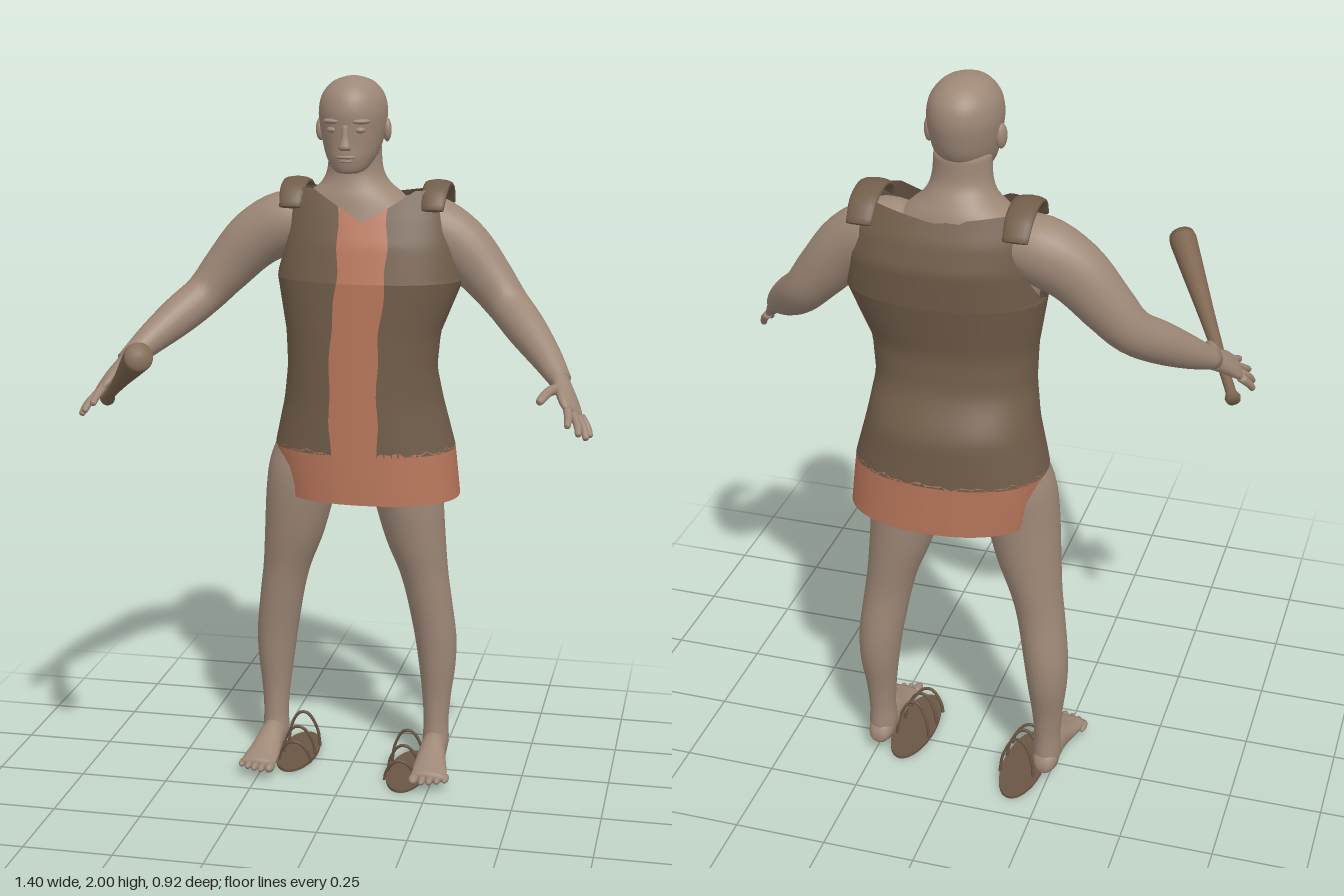
import * as THREE from 'three';

const V = (x, y, z) => new THREE.Vector3(x, y, z);
const X = V(1, 0, 0), Y = V(0, 1, 0), Z = V(0, 0, 1);
const mat = (name, color, side = THREE.FrontSide) => {
  const m = new THREE.MeshStandardMaterial({ color, side });
  m.name = name;
  return m;
};

// Indexed grid of points, optionally closed around the columns and capped at both ends
function grid(rows, capped) {
  const n = rows[0].length, pos = [], idx = [];
  rows.forEach(r => r.forEach(p => pos.push(p.x, p.y, p.z)));
  const cols = capped ? n : n - 1;
  for (let i = 0; i < rows.length - 1; i++) {
    for (let j = 0; j < cols; j++) {
      const k = (j + 1) % n, a = i * n + j, b = i * n + k, c = a + n, d = b + n;
      idx.push(a, b, c, b, d, c);
    }
  }
  if (capped) {
    [0, rows.length - 1].forEach(i => {
      const c = rows[i].reduce((s, p) => s.add(p), V(0, 0, 0)).divideScalar(n);
      const o = pos.length / 3;
      pos.push(c.x, c.y, c.z);
      for (let j = 0; j < n; j++) {
        const a = i * n + j, b = i * n + (j + 1) % n;
        if (i) idx.push(o, a, b); else idx.push(o, b, a);
      }
    });
  }
  const g = new THREE.BufferGeometry();
  g.setAttribute('position', new THREE.Float32BufferAttribute(pos, 3));
  g.setIndex(idx);
  g.computeVertexNormals();
  return g;
}

// Smooth loft through elliptical sections [x, y, z, radius along ref, other radius]
function loft(sections, ref, axis = null, seg = 24, sub = 4) {
  const path = new THREE.CatmullRomCurve3(sections.map(s => V(s[0], s[1], s[2])), false, 'catmullrom');
  const radii = new THREE.CatmullRomCurve3(sections.map(s => V(s[3], s[4], 0)), false, 'catmullrom');
  const rows = [], n = (sections.length - 1) * sub;
  for (let i = 0; i <= n; i++) {
    const c = path.getPoint(i / n), r = radii.getPoint(i / n);
    const t = axis || path.getTangent(i / n);
    const u = ref.clone().addScaledVector(t, -ref.dot(t)).normalize();
    const w = t.clone().cross(u);
    const row = [];
    for (let j = 0; j < seg; j++) {
      const a = j / seg * Math.PI * 2;
      row.push(c.clone().addScaledVector(u, r.x * Math.cos(a)).addScaledVector(w, r.y * Math.sin(a)));
    }
    rows.push(row);
  }
  return grid(rows, true);
}

// Tunic outline: [y, right edge, left edge, front z, back z]
const OUTLINE = [
  [0.83, -0.205, 0.30, -0.105, -0.455], [0.97, -0.228, 0.285, -0.105, -0.455],
  [1.1, -0.2, 0.25, -0.105, -0.45], [1.2, -0.185, 0.235, -0.105, -0.395],
  [1.3, -0.188, 0.245, -0.105, -0.385], [1.45, -0.215, 0.305, -0.105, -0.415],
  [1.55, -0.205, 0.295, -0.13, -0.425], [1.62, -0.2, 0.28, -0.16, -0.405],
  [1.7, -0.2, 0.265, -0.2, -0.36]];
function outline(y) {
  let i = 0;
  while (i < OUTLINE.length - 2 && y > OUTLINE[i + 1][0]) i++;
  const p = OUTLINE[i], q = OUTLINE[i + 1], t = THREE.MathUtils.clamp((y - p[0]) / (q[0] - p[0]), 0, 1);
  return p.map((v, k) => v + (q[k] - v) * t);
}
const bend = v => Math.sign(v) * Math.abs(v) ** 0.9;
function tunicPoint(a, y) {
  const [, x0, x1, zf, zb] = outline(y);
  return V((x0 + x1) / 2 + (x1 - x0) / 2 * bend(Math.sin(a)), y, (zf + zb) / 2 + (zf - zb) / 2 * bend(Math.cos(a)));
}
// Cloth patch between two angles (functions of y) and two heights (functions of angle and x)
function cloth(a0, a1, y0, y1, top, nu, nv) {
  const rows = [];
  for (let i = 0; i <= nv; i++) {
    const row = [];
    for (let j = 0; j <= nu; j++) {
      const v = i / nv, yn = y0 + (y1 - y0) * v;
      const a = a0(yn) + (a1(yn) - a0(yn)) * j / nu;
      const end = top ? top(a, tunicPoint(a, yn).x) : y1;
      row.push(tunicPoint(a, y0 + (end - y0) * v));
    }
    rows.push(row);
  }
  return grid(rows, false);
}

export function createModel() {
  const root = new THREE.Group();
  root.name = 'manWithClub';
  const skin = mat('skin', 0x9e8877);
  const brown = mat('brownCloth', 0x715d4a, THREE.DoubleSide);
  const rust = mat('rustCloth', 0xb8765b, THREE.DoubleSide);
  const wood = mat('clubWood', 0x7d6650);
  const leather = mat('sandalLeather', 0x6a5644);
  const add = (name, geo, m) => {
    const mesh = new THREE.Mesh(geo, m);
    mesh.name = name;
    root.add(mesh);
    return mesh;
  };
  const blob = (name, x, y, z, rx, ry, rz) => {
    const m = add(name, new THREE.SphereGeometry(1, 16, 12), skin);
    m.position.set(x, y, z);
    m.scale.set(rx, ry, rz);
    return m;
  };

  // Torso and neck
  add('torso', loft([
    [0, 0.88, -0.28, 0.13, 0.09], [0, 0.95, -0.28, 0.195, 0.13], [0, 1.08, -0.275, 0.185, 0.135],
    [0, 1.22, -0.255, 0.165, 0.115], [0, 1.45, -0.265, 0.195, 0.125], [0, 1.56, -0.275, 0.195, 0.115],
    [0, 1.63, -0.28, 0.175, 0.105], [0, 1.675, -0.28, 0.135, 0.095], [0, 1.71, -0.277, 0.095, 0.08],
    [0, 1.75, -0.268, 0.077, 0.064], [0, 1.82, -0.262, 0.072, 0.066]], X, Y, 36), skin);

  // Head and face
  add('head', loft([
    [0, 1.745, -0.168, 0.028, 0.03], [0, 1.755, -0.187, 0.047, 0.056], [0, 1.785, -0.214, 0.067, 0.09],
    [0, 1.82, -0.23, 0.08, 0.106], [0, 1.87, -0.236, 0.09, 0.115], [0, 1.91, -0.237, 0.093, 0.118],
    [0, 1.95, -0.238, 0.084, 0.107], [0, 1.982, -0.237, 0.058, 0.075], [0, 1.996, -0.236, 0.026, 0.034],
    [0, 2.0, -0.236, 0.003, 0.004]], X, Y, 36), skin);
  add('nose', loft([
    [0, 1.808, -0.124, 0.012, 0.008], [0, 1.816, -0.118, 0.018, 0.017],
    [0, 1.84, -0.121, 0.011, 0.012], [0, 1.875, -0.124, 0.008, 0.008]], X, Y, 12), skin);
  blob('upperLip', 0, 1.79, -0.13, 0.027, 0.006, 0.009);
  blob('lowerLip', 0, 1.779, -0.133, 0.022, 0.006, 0.01);
  blob('chin', 0, 1.758, -0.147, 0.026, 0.014, 0.016);
  for (const s of [1, -1]) {
    blob('eyelid', s * 0.036, 1.862, -0.138, 0.017, 0.009, 0.012);
    blob('brow', s * 0.038, 1.885, -0.138, 0.028, 0.008, 0.016).rotation.y = s * 0.3;
    blob('ear', s * 0.092, 1.855, -0.245, 0.012, 0.032, 0.019).rotation.y = s * 0.3;
  }

  for (const s of [1, -1]) {
    const flip = rows => rows.map(([x, ...r]) => [s * x, ...r]);
    // Arm
    add('arm', loft(flip([
      [0.12, 1.6, -0.29, 0.07, 0.07], [0.2, 1.59, -0.288, 0.088, 0.082], [0.29, 1.54, -0.283, 0.083, 0.074],
      [0.37, 1.455, -0.276, 0.07, 0.064], [0.43, 1.385, -0.255, 0.059, 0.058], [0.49, 1.33, -0.19, 0.055, 0.054],
      [0.55, 1.275, -0.115, 0.043, 0.043], [0.6, 1.225, -0.04, 0.027, 0.031]]), Y), skin);
    // Hand with fingers and thumb
    const across = V(s * -0.54, 0.49, 0.68);
    add('palm', loft(flip([
      [0.592, 1.233, -0.055, 0.028, 0.024], [0.618, 1.2, 0, 0.037, 0.021],
      [0.635, 1.175, 0.04, 0.044, 0.017], [0.647, 1.158, 0.065, 0.036, 0.011]]), across, null, 16), skin);
    const fingers = [
      [[0.663, 1.145, 0.03], [0.682, 1.122, 0.048], [0.69, 1.103, 0.062]],
      [[0.655, 1.152, 0.047], [0.675, 1.128, 0.077], [0.683, 1.106, 0.1]],
      [[0.644, 1.163, 0.06], [0.66, 1.14, 0.098], [0.666, 1.122, 0.128]],
      [[0.63, 1.176, 0.07], [0.637, 1.158, 0.108], [0.638, 1.145, 0.138]],
      [[0.602, 1.212, 0], [0.58, 1.213, 0.048], [0.562, 1.197, 0.095]]];
    fingers.forEach((f, i) => {
      const r = i === 4 ? 0.014 : 0.011;
      const rows = f.map((p, k) => [...p, r * (1.1 - 0.15 * k), r * (1.1 - 0.15 * k)]);
      const [p, q] = [f[1], f[2]];
      rows.push([...q.map((v, k) => v + (v - p[k]) * 0.18), r * 0.35, r * 0.35]);
      add(i === 4 ? 'thumb' : 'finger', loft(flip(rows), across, null, 10, 3), skin);
    });
    // Leg
    add('leg', loft(flip([
      [0.24, 0.035, -0.29, 0.03, 0.045], [0.24, 0.08, -0.288, 0.038, 0.047], [0.24, 0.14, -0.29, 0.036, 0.043],
      [0.24, 0.22, -0.295, 0.042, 0.047], [0.24, 0.31, -0.3, 0.053, 0.061], [0.234, 0.4, -0.298, 0.06, 0.068],
      [0.216, 0.52, -0.285, 0.064, 0.071], [0.2, 0.6, -0.28, 0.07, 0.078], [0.177, 0.7, -0.272, 0.086, 0.092],
      [0.155, 0.83, -0.265, 0.1, 0.105], [0.138, 0.92, -0.27, 0.106, 0.11], [0.125, 1.0, -0.28, 0.09, 0.1]]), X, Y), skin);
    // Foot and toes
    add('foot', loft(flip([
      [0.24, 0.052, -0.343, 0.015, 0.014], [0.24, 0.06, -0.325, 0.031, 0.034], [0.24, 0.07, -0.28, 0.036, 0.044],
      [0.241, 0.07, -0.23, 0.037, 0.045], [0.244, 0.058, -0.18, 0.043, 0.033], [0.248, 0.047, -0.13, 0.05, 0.021],
      [0.25, 0.041, -0.09, 0.05, 0.014]]), X, Z), skin);
    for (let i = 0; i < 5; i++) {
      const r = i ? 0.0105 : 0.014;
      blob('toe', s * (0.21 + i * 0.021 + (i ? 0.003 : 0)), 0.026 + r, -0.077 - i * i * 0.0018, r, r, 0.026);
    }
    // Loose sandal beside the foot
    const z = s > 0 ? -0.205 : -0.285;
    const sole = add('sandalSole', new THREE.CylinderGeometry(1, 1, 0.008, 32), leather);
    sole.scale.set(0.058, 1, 0.15);
    sole.position.set(s * 0.172, 0.007, z);
    [[-0.05, 0.12], [0.02, 0.1], [0.08, 0.075]].forEach(([dz, h]) => {
      const arch = new THREE.CatmullRomCurve3([
        V(-0.048, 0.01, 0), V(-0.04, h * 0.55, 0.004), V(-0.012, h * 0.97, 0.012),
        V(0.012, h * 0.97, 0.012), V(0.04, h * 0.55, 0.004), V(0.048, 0.01, 0)]);
      const strap = add('sandalStrap', new THREE.TubeGeometry(arch, 20, 0.0045, 6), leather);
      strap.position.set(s * 0.165, 0, z + dz);
    });
  }

  // Tunic: rust hem with ragged upper edge, brown body, rust front stripe
  const PI2 = Math.PI * 2, SPLIT = 0.975, ARM = 1.45;
  const ragged = a => SPLIT + 0.007 * Math.sin(a * 9) * Math.sin(a * 23 + 1);
  const stripe = y => {
    const [, x0, x1] = outline(y);
    return Math.asin((0.067 / ((x1 - x0) / 2)) ** (1 / 0.9)) + 0.012 * Math.sin(y * 37);
  };
  const hole = y => 0.56 * Math.sqrt(THREE.MathUtils.clamp((y - ARM) / 0.14, 0, 1));
  const neck = (a, x) => Math.min(1.695, 1.61 + Math.abs(x - 0.035) * 0.6);
  const nape = (a, x) => Math.min(1.69, 1.665 + Math.abs(x - 0.035) * 0.15);
  add('tunicHem', cloth(() => 0, () => PI2, 0.83, SPLIT, ragged, 120, 4), rust);
  add('tunicBody', cloth(stripe, y => PI2 - stripe(y), 0.968, ARM, null, 72, 20), brown);
  add('tunicStripe', cloth(y => -stripe(y), stripe, 0.968, ARM, null, 8, 20), rust);
  add('tunicStripeTop', cloth(y => -stripe(y), stripe, ARM, 1.7, neck, 8, 12), rust);
  add('tunicChestLeft', cloth(stripe, y => Math.PI / 2 - hole(y), ARM, 1.7, neck, 16, 16), brown);
  add('tunicChestRight', cloth(y => hole(y) - Math.PI / 2, y => -stripe(y), ARM, 1.7, neck, 16, 16), brown);
  add('tunicBack', cloth(y => Math.PI / 2 + hole(y), y => Math.PI * 1.5 - hole(y), ARM, 1.7, nape, 32, 16), brown);
  // Shoulder bands joining the chest and back
  for (const x of [-0.168, 0.228]) {
    add('shoulderBand', loft([
      [x, 1.645, -0.19, 0.03, 0.008], [x, 1.69, -0.225, 0.035, 0.01], [x, 1.708, -0.285, 0.037, 0.011],
      [x, 1.69, -0.35, 0.036, 0.01], [x, 1.645, -0.39, 0.032, 0.008]], X, null, 16), brown);
  }

  // Wooden club held in the right hand
  const from = V(-0.66, 1.115, -0.045), to = V(-0.41, 1.345, 0.44), dir = to.clone().sub(from), len = dir.length();
  const profile = [[0, 0], [0.018, 0], [0.021, 0.012], [0.014, 0.03], [0.014, 0.12], [0.022, 0.3],
    [0.034, 0.5], [0.038, len - 0.02], [0.035, len], [0, len + 0.003]];
  const club = add('club', new THREE.LatheGeometry(profile.map(p => new THREE.Vector2(...p)), 24), wood);
  club.position.copy(from);
  club.quaternion.setFromUnitVectors(Y, dir.normalize());
  return root;
}
